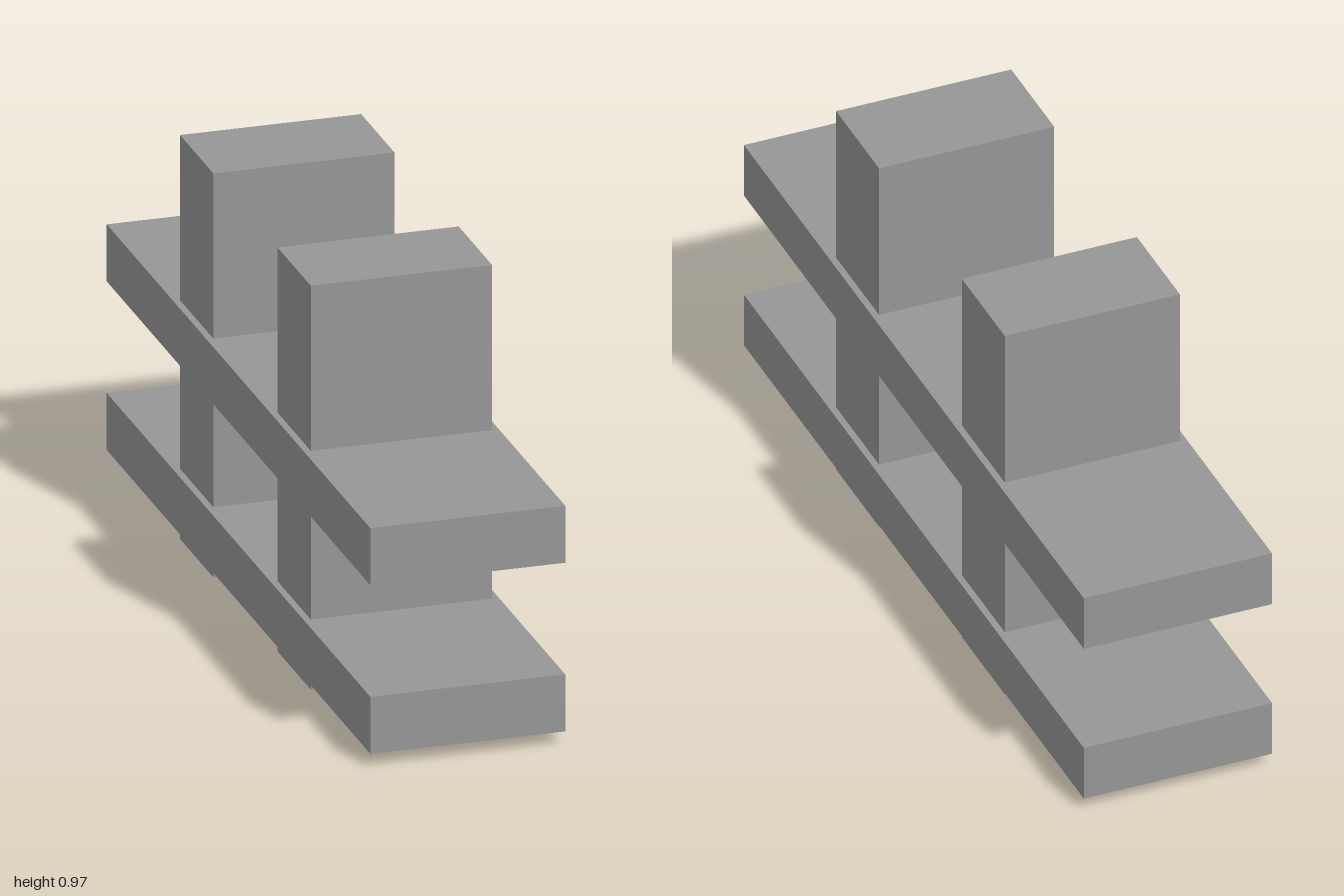
import * as THREE from 'three';

export function createModel() {
  const model = new THREE.Group();
  model.name = 'plankRack';
  const material = new THREE.MeshStandardMaterial({ color: 0x969696, flatShading: true });

  const addBox = (name, size, y, z) => {
    const mesh = new THREE.Mesh(new THREE.BoxGeometry(...size), material);
    mesh.name = name;
    mesh.position.set(0, y, z);
    model.add(mesh);
  };

  // Two long planks, one above the other
  addBox('lowerPlank', [0.457, 0.137, 1.953], 0.1, 0);
  addBox('upperPlank', [0.457, 0.137, 1.953], 0.505, 0);

  // Two upright posts passing through both planks
  addBox('frontPost', [0.425, 0.97, 0.247], 0.485, 0.361);
  addBox('backPost', [0.425, 0.97, 0.247], 0.485, -0.361);

  // The whole rack stands at a slant
  model.rotation.y = 0.31;
  return model;
}
